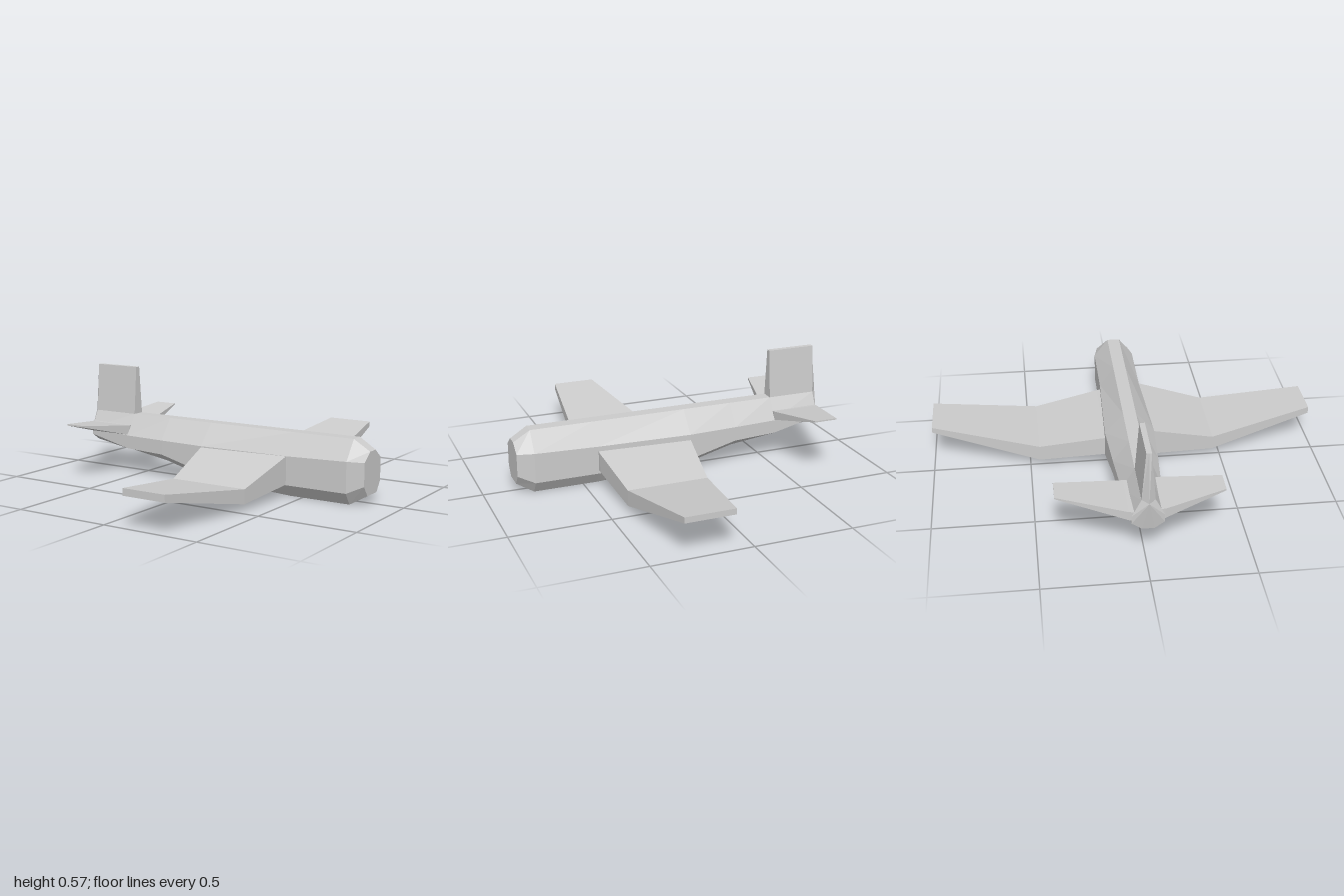
import * as THREE from 'three';

const paint = new THREE.MeshStandardMaterial({ color: 0xcccccc, flatShading: true });
paint.name = 'light grey paint';

const CENTRE = 0.013; // z of the fuselage axis

// Flat-shaded closed skin through equal-length rings of [x, y, z], ends capped
function loft(name, rings) {
  const pos = [];
  const tri = (a, b, c) => pos.push(...a, ...b, ...c);
  const n = rings[0].length;
  for (let i = 0; i < rings.length - 1; i++) {
    for (let j = 0; j < n; j++) {
      const k = (j + 1) % n;
      const [a, b, c, d] = [rings[i][j], rings[i][k], rings[i + 1][k], rings[i + 1][j]];
      tri(a, b, c);
      tri(a, c, d);
    }
  }
  const first = rings[0], last = rings[rings.length - 1];
  for (let j = 1; j < n - 1; j++) {
    tri(first[0], first[j + 1], first[j]);
    tri(last[0], last[j], last[j + 1]);
  }
  // Turn the faces outward if the enclosed volume is negative
  let volume = 0;
  const [a, b, c] = [new THREE.Vector3(), new THREE.Vector3(), new THREE.Vector3()];
  for (let i = 0; i < pos.length; i += 9) {
    a.fromArray(pos, i); b.fromArray(pos, i + 3); c.fromArray(pos, i + 6);
    volume += a.dot(b.cross(c));
  }
  if (volume < 0) {
    for (let i = 0; i < pos.length; i += 9) {
      for (let k = 0; k < 3; k++) [pos[i + 3 + k], pos[i + 6 + k]] = [pos[i + 6 + k], pos[i + 3 + k]];
    }
  }
  const geometry = new THREE.BufferGeometry();
  geometry.setAttribute('position', new THREE.Float32BufferAttribute(pos, 3));
  geometry.computeVertexNormals();
  const mesh = new THREE.Mesh(geometry, paint);
  mesh.name = name;
  return mesh;
}

// Eight-sided fuselage section: half widths and heights from top to belly
function section(x, topW, topY, sideW, shoulderY, lowY, bellyW, bellyY) {
  const half = [[topW, topY], [sideW, shoulderY], [sideW, lowY], [bellyW, bellyY]];
  return [
    ...half.map(([w, y]) => [x, y, CENTRE + w]),
    ...half.reverse().map(([w, y]) => [x, y, CENTRE - w]),
  ];
}

// Box-section wing through stations of [z, rear x, front x, bottom y, top y]
const wing = (name, stations) => loft(name, stations.map(([z, x0, x1, y0, y1]) =>
  [[x0, y0, z], [x1, y0, z], [x1, y1, z], [x0, y1, z]]));

export function createModel() {
  const plane = new THREE.Group();
  plane.name = 'aeroplane';

  // Fuselage from nose to pointed tail
  plane.add(loft('fuselage', [
    section(0.84, 0.03, 0.265, 0.088, 0.22, 0.105, 0.05, 0.053),
    section(0.755, 0.033, 0.318, 0.108, 0.22, 0.065, 0.067, 0.004),
    section(0.43, 0.033, 0.318, 0.108, 0.21, 0.065, 0.067, 0.004),
    section(-0.06, 0.033, 0.318, 0.127, 0.21, 0.075, 0.067, 0.03),
    section(-0.32, 0.033, 0.318, 0.113, 0.21, 0.135, 0.055, 0.092),
    section(-0.555, 0.033, 0.318, 0.097, 0.21, 0.14, 0.045, 0.125),
    section(-0.81, 0.033, 0.318, 0.077, 0.23, 0.19, 0.03, 0.157),
    section(-0.84, 0, 0.315, 0, 0.315, 0.315, 0, 0.315),
  ]));

  // Cranked wings, drooping to the kink and rising to the tip
  plane.add(wing('leftWing', [
    [0.05, -0.065, 0.428, 0.075, 0.222],
    [0.118, -0.065, 0.428, 0.068, 0.21],
    [0.46, -0.005, 0.402, 0.038, 0.11],
    [1, 0.11, 0.337, 0.152, 0.187],
  ]));
  plane.add(wing('rightWing', [
    [-0.03, -0.062, 0.428, 0.09, 0.2],
    [-0.115, -0.062, 0.428, 0.082, 0.18],
    [-0.45, -0.008, 0.402, 0.035, 0.115],
    [-1, 0.092, 0.34, 0.178, 0.207],
  ]));

  // Thin upswept stabilisers
  plane.add(wing('leftStabiliser', [
    [0.03, -0.81, -0.555, 0.205, 0.265],
    [0.092, -0.81, -0.555, 0.21, 0.262],
    [0.387, -0.735, -0.622, 0.288, 0.296],
  ]));
  plane.add(wing('rightStabiliser', [
    [-0.01, -0.81, -0.555, 0.2, 0.25],
    [-0.075, -0.81, -0.555, 0.21, 0.256],
    [-0.41, -0.735, -0.615, 0.302, 0.309],
  ]));

  // Fin with a wedge-shaped trailing edge
  const finRing = (y, w, tailX, frontX) => [
    [tailX, y, CENTRE],
    [-0.81, y, CENTRE + w], [frontX, y, CENTRE + w],
    [frontX, y, CENTRE - w], [-0.81, y, CENTRE - w],
  ];
  plane.add(loft('fin', [
    finRing(0.315, 0.033, -0.84, -0.555),
    finRing(0.57, 0.013, -0.812, -0.555),
  ]));

  return plane;
}
